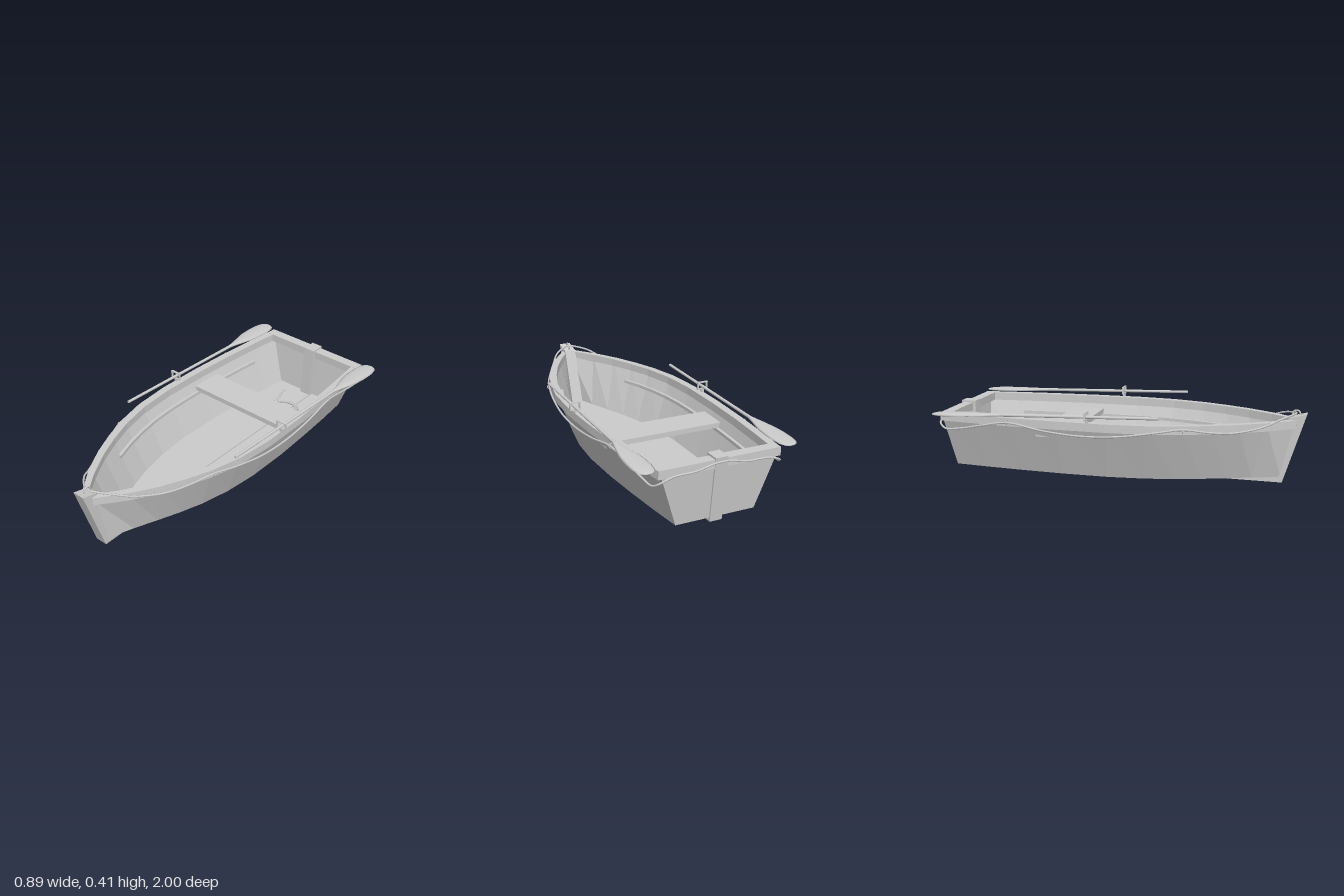
import * as THREE from 'three';
import { mergeVertices } from 'three/addons/utils/BufferGeometryUtils.js';

const flat = new THREE.MeshStandardMaterial({ color: 0xcccccc, flatShading: true });
const smooth = new THREE.MeshStandardMaterial({ color: 0xcccccc });
const V = (x, y, z) => new THREE.Vector3(x, y, z);

// Stations from stern to bow: [z, half width]
const SHEER = [[-0.98, 0.335], [-0.78, 0.357], [-0.55, 0.377], [-0.3, 0.391], [-0.02, 0.395], [0.2, 0.378],
  [0.38, 0.337], [0.52, 0.287], [0.66, 0.225], [0.8, 0.145], [0.945, 0.038]];
const CHINE = [[-0.945, 0.22], [-0.76, 0.238], [-0.54, 0.255], [-0.3, 0.268], [-0.04, 0.27], [0.16, 0.252],
  [0.33, 0.218], [0.46, 0.178], [0.59, 0.13], [0.72, 0.08], [0.87, 0.03]];
const Y0 = 0.03, Y1 = 0.34;

function widthAt(table, z) {
  let i = 0;
  while (i < table.length - 2 && table[i + 1][0] < z) i++;
  const [a, b] = [table[i], table[i + 1]];
  return THREE.MathUtils.lerp(a[1], b[1], THREE.MathUtils.clamp((z - a[0]) / (b[0] - a[0]), 0, 1));
}
const sideAt = (z, y) => THREE.MathUtils.lerp(widthAt(CHINE, z), widthAt(SHEER, z) - 0.01, (y - Y0) / (Y1 - Y0));

// Skin over closed rings, counter-clockwise seen from +z, ordered by rising z
function loft(rings, capped = true) {
  const p = [], n = rings[0].length;
  const tri = (...v) => v.forEach((q) => p.push(q.x, q.y, q.z));
  for (let i = 0; i < rings.length - 1; i++) {
    for (let j = 0; j < n; j++) {
      const k = (j + 1) % n, a = rings[i], b = rings[i + 1];
      tri(a[j], a[k], b[k]);
      tri(a[j], b[k], b[j]);
    }
  }
  if (capped) {
    const s = rings[0], e = rings[rings.length - 1];
    for (let j = 1; j < n - 1; j++) {
      tri(s[0], s[j + 1], s[j]);
      tri(e[0], e[j], e[j + 1]);
    }
  }
  const g = new THREE.BufferGeometry();
  g.setAttribute('position', new THREE.Float32BufferAttribute(p, 3));
  g.computeVertexNormals();
  return g;
}
const mirrorRing = (ring) => ring.map((q) => V(-q.x, q.y, q.z)).reverse();
const boxRing = (x0, x1, y0, y1, z) => [V(x0, y0, z), V(x1, y0, z), V(x1, y1, z), V(x0, y1, z)];

export function createModel() {
  const boat = new THREE.Group();
  boat.name = 'rowingBoat';
  const add = (name, geo, mat = flat, parent = boat) => {
    const m = new THREE.Mesh(geo, mat);
    m.name = name;
    parent.add(m);
    return m;
  };
  const box = (name, w, h, d, x, y, z, parent) => add(name, new THREE.BoxGeometry(w, h, d), flat, parent).position.set(x, y, z);
  const tube = (name, pts, r, seg, closed = false) =>
    add(name, new THREE.TubeGeometry(new THREE.CatmullRomCurve3(pts, closed), seg, r, 7, closed), smooth);

  // Hull: U-shaped shell with flat bottom
  add('hull', loft(SHEER.map(([zt, w], i) => {
    const [zb, b] = CHINE[i], t = w - 0.01, ti = Math.max(t - 0.02, 0.005), bi = Math.max(b - 0.012, 0.005);
    return [V(-b, Y0, zb), V(b, Y0, zb), V(t, Y1, zt), V(ti, Y1, zt),
      V(bi, 0.045, zb), V(-bi, 0.045, zb), V(-ti, Y1, zt), V(-t, Y1, zt)];
  }), false));

  // Transom: leaning plate closing the stern
  const transomRing = (d) => [V(-0.22, Y0, -0.946 + d), V(0.22, Y0, -0.946 + d), V(0.325, Y1, -0.98 + d), V(-0.325, Y1, -0.98 + d)];
  add('transom', loft([transomRing(0), transomRing(0.025)]));
  box('transomRail', 0.67, 0.045, 0.06, 0, 0.3285, -0.955);

  // Gunwales and inner stringers on both sides
  const railRings = SHEER.map(([z, w]) => boxRing(Math.max(w - 0.043, 0), w, 0.305, 0.35, z));
  const stringerRings = [];
  for (let i = 0; i <= 10; i++) {
    const z = -0.73 + 0.125 * i, x = sideAt(z, 0.24) - 0.016;
    stringerRings.push(boxRing(x - 0.018, x, 0.232, 0.25, z));
  }
  for (const [side, fix] of [['left', (r) => r], ['right', mirrorRing]]) {
    add(side + 'Gunwale', loft(railRings.map(fix)));
    add(side + 'Stringer', loft(stringerRings.map(fix)));
  }

  // Spine: stem, keel, floor strip and stern post in one side profile (z, y)
  const spine = new THREE.Shape([[0.88, 0], [1, 0.383], [0.905, 0.36], [0.8, 0.04], [0.27, 0.04], [0.27, 0.052],
    [-0.89, 0.052], [-0.908, 0.362], [-0.992, 0.362], [-0.952, 0.01]].map(([z, y]) => new THREE.Vector2(z, y)));
  const spineGeo = new THREE.ExtrudeGeometry(spine, { depth: 0.068, bevelEnabled: false });
  spineGeo.translate(0, 0, -0.034).rotateY(-Math.PI / 2);
  add('keelAndPosts', spineGeo);

  box('seat', 0.692, 0.028, 0.185, 0, 0.264, -0.328);

  // Oars with their locks
  const oarY = (z) => 0.3865 + 0.0315 * z;
  for (const s of [1, -1]) {
    const oar = new THREE.Group();
    oar.name = s > 0 ? 'leftOar' : 'rightOar';
    oar.position.x = s * 0.389;
    boat.add(oar);
    const a = V(0, oarY(0.27), 0.27), b = V(0, oarY(-0.7), -0.7);
    const shaft = add('oarShaft', new THREE.CylinderGeometry(0.008, 0.009, a.distanceTo(b), 10), smooth, oar);
    shaft.position.copy(a).lerp(b, 0.5);
    shaft.quaternion.setFromUnitVectors(V(0, 1, 0), a.clone().sub(b).normalize());
    const blade = [[-1, 0.016], [-0.99, 0.035], [-0.965, 0.048], [-0.92, 0.055], [-0.85, 0.056], [-0.78, 0.05],
      [-0.7, 0.031], [-0.64, 0.015], [-0.6, 0.008]].map(([z, w], i) => {
      const ring = [], h = Math.min(0.009, 0.003 + i * 0.002);
      for (let j = 0; j < 10; j++) {
        const t = j / 10 * Math.PI * 2;
        ring.push(V(Math.cos(t) * w, oarY(z) + Math.sin(t) * h, z));
      }
      return ring;
    });
    const bladeGeo = loft(blade);
    bladeGeo.deleteAttribute('normal');
    const merged = mergeVertices(bladeGeo);
    merged.computeVertexNormals();
    add('oarBlade', merged, smooth, oar);

    // Square lock frame on a short pin
    const lock = new THREE.Group();
    lock.name = 'oarLock';
    oar.add(lock);
    for (const y of [0.369, 0.407]) box('lockBar', 0.064, 0.006, 0.012, 0, y, -0.12, lock);
    for (const x of [-0.028, 0.028]) box('lockSide', 0.007, 0.038, 0.012, x, 0.388, -0.12, lock);
    box('lockPin', 0.014, 0.025, 0.014, 0, 0.357, -0.12, lock);
  }

  // Grab rope slung round the outside, from bow ring to stern post
  const half = [[0.94, 0.383, 0.012], [0.87, 0.365], [0.78, 0.33], [0.64, 0.308], [0.52, 0.315], [0.39, 0.333], [0.25, 0.315],
    [0.05, 0.288], [-0.15, 0.28], [-0.36, 0.295], [-0.57, 0.325], [-0.72, 0.3], [-0.86, 0.272], [-0.95, 0.265]]
    .map(([z, y, x]) => V(x ?? widthAt(SHEER, z) + 0.009, y, z));
  half.push(V(0.325, 0.29, -0.99), V(0.26, 0.312, -0.993), V(0.14, 0.316, -0.993), V(0.04, 0.338, -0.996));
  tube('grabRope', [...half, ...mirrorRing(half)], 0.0055, 260, true);

  // Rope eyes along the gunwales and the ring on the stem head
  for (const s of [1, -1]) {
    for (const z of [0.39, -0.57]) {
      const eye = add('ropeEye', new THREE.TorusGeometry(0.012, 0.003, 6, 14), smooth);
      eye.position.set(s * (widthAt(SHEER, z) + 0.007), 0.329, z);
    }
  }
  const ring = add('bowRing', new THREE.TorusGeometry(0.02, 0.005, 8, 18), smooth);
  ring.position.set(0, 0.379, 0.942);
  ring.rotation.y = Math.PI / 2;

  // Coiled painter on the floor with a loose tail
  const coil = [V(-0.115, 0.053, -0.84), V(-0.112, 0.053, -0.79), V(-0.09, 0.053, -0.75), V(-0.085, 0.053, -0.7)];
  for (let i = 0; i <= 56; i++) {
    const t = i / 14 * Math.PI * 2 + 3.6, r = 1 - 0.045 * (i / 14) + 0.04 * Math.sin(t * 1.27);
    coil.push(V(0.018 + 0.115 * r * Math.cos(t), 0.055 + 0.006 * (i / 14), -0.6 + 0.135 * r * Math.sin(t)));
  }
  tube('ropeCoil', coil, 0.006, 260);

  boat.position.x = -0.004;
  const model = new THREE.Group();
  model.name = 'model';
  model.add(boat);
  return model;
}
